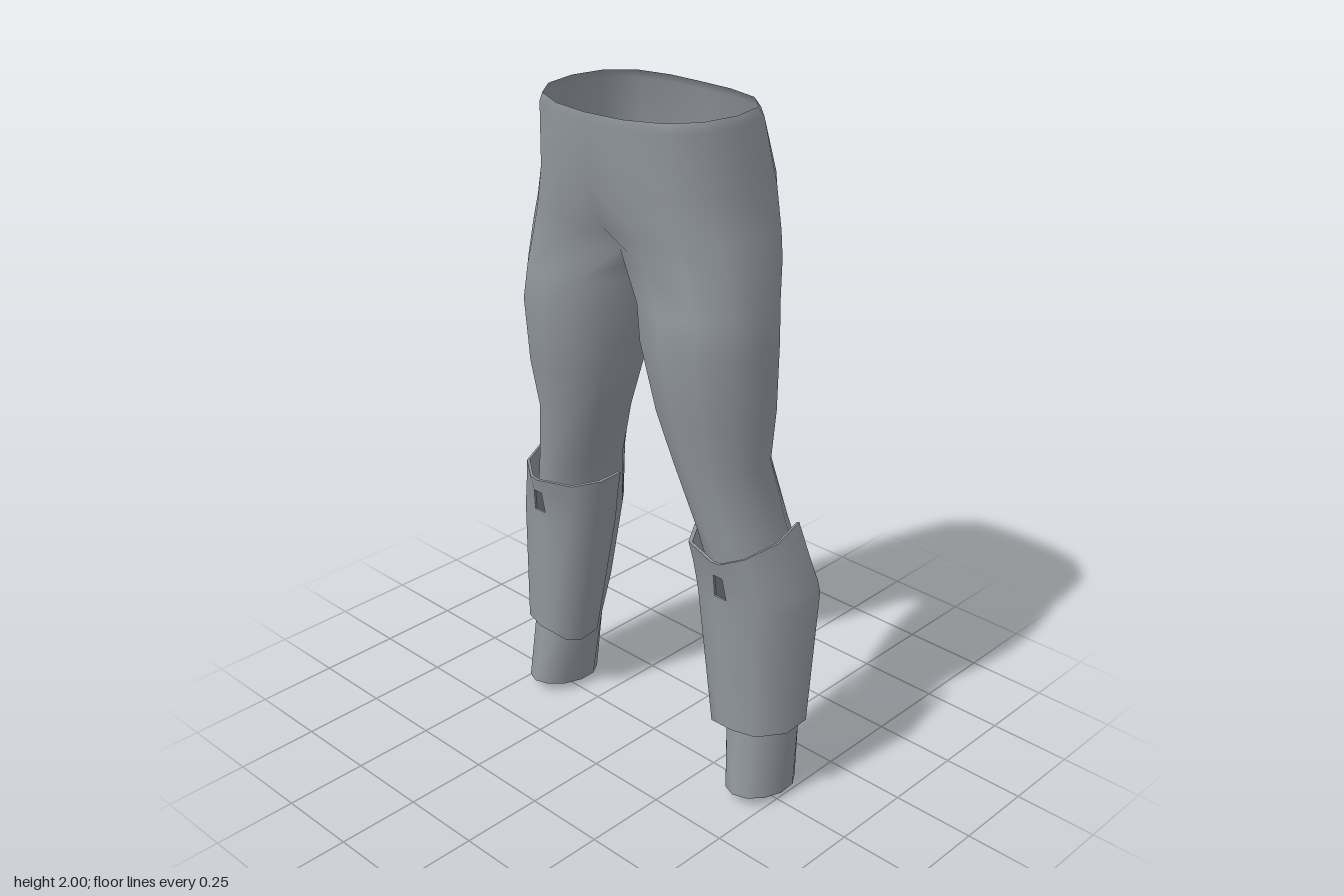
import * as THREE from 'three';
import { mergeGeometries, mergeVertices, toCreasedNormals } from 'three/addons/utils/BufferGeometryUtils.js';

const plate = new THREE.MeshStandardMaterial({ color: 0x92979f });
const cloth = new THREE.MeshStandardMaterial({ color: 0x92979f, side: THREE.DoubleSide });
const dark = new THREE.MeshStandardMaterial({ color: 0x5c5f63, side: THREE.DoubleSide });

// Geometry from points; side -1 mirrors it across x = 0
function makeGeometry(points, index, side) {
  const g = new THREE.BufferGeometry();
  g.setAttribute('position', new THREE.Float32BufferAttribute(points.flatMap(([x, y, z]) => [x * side, y, z]), 3));
  g.setIndex(side > 0 ? index : [...index].reverse());
  return g;
}

// Half rings of the hips from front seam round the side to back seam: [y, x,z pairs]
const hipRings = [
  [2.0, 0, .25, .12, .237, .22, .192, .28, .115, .30, .01, .28, -.09, .21, -.155, .11, -.178, 0, -.18],
  [1.975, 0, .25, .125, .238, .23, .193, .295, .115, .313, .01, .293, -.10, .22, -.17, .11, -.197, 0, -.197],
  [1.8, 0, .235, .13, .227, .235, .19, .31, .11, .34, 0, .325, -.12, .25, -.205, .08, -.25, 0, -.215],
  [1.68, 0, .19, .14, .20, .26, .185, .34, .11, .37, 0, .345, -.12, .26, -.205, .09, -.248, 0, -.205],
  [1.61, 0, .13, .155, .198, .28, .183, .36, .11, .39, 0, .36, -.11, .28, -.175, .12, -.207, 0, -.16],
];
// Saddle between the legs, back to front
const crotch = [[0, 1.575, -.08], [0, 1.555, 0], [0, 1.565, .07]];
// Leg sections: y, inner x, outer x, front z, back z, hem slope
const legRings = [
  [1.5, .015, .41, .208, -.175, 0],
  [1.4, .035, .42, .215, -.165, 0],
  [1.2, .08, .42, .185, -.145, 0],
  [1.05, .13, .405, .15, -.127, 0],
  [.85, .208, .435, .12, -.165, 0],
  [.65, .245, .495, .085, -.2, 0],
  [.4, .28, .505, .07, -.17, 0],
  [.25, .305, .51, .08, -.145, 0],
  [.022, .34, .505, .11, -.14, .14],
];

function trouserHalf(side) {
  const SEG = 12, HALF = 9, pts = [], idx = [];
  const hips = hipRings.length;
  const quad = (a, b, c, d) => idx.push(a, c, d, a, d, b);
  // hips are open half rings, padded with the saddle to keep one ring size
  for (const [y, ...p] of hipRings) {
    for (let j = 0; j < HALF; j++) pts.push([p[2 * j], y, p[2 * j + 1]]);
    pts.push(...crotch);
  }
  for (const [y, x0, x1, zf, zb, slope] of legRings) {
    for (let j = 0; j < SEG; j++) {
      const a = (4 - j) * Math.PI / 6;
      const dz = Math.sin(a) * (zf - zb) / 2;
      pts.push([(x0 + x1) / 2 + Math.cos(a) * (x1 - x0) / 2, y + dz * slope, (zf + zb) / 2 + dz]);
    }
  }
  const rows = hips + legRings.length;
  for (let i = 0; i < rows - 1; i++) {
    const count = i < hips - 1 ? HALF - 1 : SEG;
    for (let j = 0; j < count; j++) {
      const k = (j + 1) % SEG;
      quad(i * SEG + j, i * SEG + k, (i + 1) * SEG + j, (i + 1) * SEG + k);
    }
  }
  return makeGeometry(pts, idx, side);
}

// Guard sections from inner back edge, round the front, to outer back edge
const guardRows = [
  [[.198, .805, -.06], [.188, .81, .03], [.235, .803, .105], [.35, .797, .138], [.38, .80, .138], [.437, .822, .10], [.47, .845, 0], [.452, .863, -.11]],
  [[.208, .75, -.06], [.2, .75, .03], [.248, .75, .10], [.348, .75, .126], [.38, .75, .126], [.455, .75, .088], [.497, .75, 0], [.482, .75, -.13]],
  [[.222, .68, -.065], [.213, .68, .03], [.26, .68, .095], [.345, .68, .116], [.388, .68, .116], [.468, .68, .082], [.52, .68, 0], [.497, .68, -.148]],
  [[.23, .64, -.07], [.22, .64, .03], [.265, .64, .093], [.345, .64, .112], [.39, .64, .112], [.473, .64, .08], [.53, .64, -.01], [.502, .64, -.155]],
  [[.30, .215, -.05], [.29, .215, .03], [.31, .23, .08], [.36, .25, .10], [.40, .25, .10], [.475, .25, .078], [.525, .247, 0], [.515, .24, -.10]],
];
const SLOT_ROW = 1, SLOT_COL = 3;
const inset = ([x, y, z], s) => [.37 + (x - .37) * s, y, -.02 + (z + .02) * s];

function guardGeometry(side) {
  const R = guardRows.length - 1, C = guardRows[0].length - 1;
  const outer = guardRows.flat(), n = outer.length;
  const pts = [...outer, ...outer.map(p => inset(p, .94))], idx = [];
  const solid = (i, j) => i >= 0 && j >= 0 && i < R && j < C && !(i === SLOT_ROW && j === SLOT_COL);
  const wall = (p, q) => idx.push(q, p, p + n, q, p + n, q + n);
  for (let i = 0; i < R; i++) for (let j = 0; j < C; j++) {
    if (!solid(i, j)) continue;
    const a = i * (C + 1) + j, b = a + 1, c = a + C + 1, d = c + 1;
    idx.push(a, c, d, a, d, b);
    idx.push(a + n, d + n, c + n, a + n, b + n, d + n);
    // close the thickness along every free edge, slot included
    if (!solid(i, j - 1)) wall(a, c);
    if (!solid(i + 1, j)) wall(c, d);
    if (!solid(i, j + 1)) wall(d, b);
    if (!solid(i - 1, j)) wall(b, a);
  }
  return toCreasedNormals(makeGeometry(pts, idx, side), 1.1);
}

// Dark floor of the slot in the guard
function slotGeometry(side) {
  const cell = [[0, 0], [0, 1], [1, 0], [1, 1]].map(([i, j]) => inset(guardRows[SLOT_ROW + i][SLOT_COL + j], .96));
  const g = makeGeometry(cell, [0, 2, 3, 0, 3, 1], side);
  g.computeVertexNormals();
  return g;
}

export function createModel() {
  const model = new THREE.Group();
  model.name = 'trousersWithShinGuards';
  const add = (name, geometry, material, parent) => {
    const mesh = new THREE.Mesh(geometry, material);
    mesh.name = name;
    parent.add(mesh);
  };

  // Both halves welded along the centre seam for smooth shading
  const trousers = mergeVertices(mergeGeometries([trouserHalf(1), trouserHalf(-1)]), 1e-4);
  trousers.computeVertexNormals();
  add('trousers', trousers, cloth, model);

  for (const [label, side] of [['left', 1], ['right', -1]]) {
    const guard = new THREE.Group();
    guard.name = label + 'ShinGuard';
    add(label + 'GuardShell', guardGeometry(side), plate, guard);
    add(label + 'GuardSlot', slotGeometry(side), dark, guard);
    model.add(guard);
  }
  return model;
}
